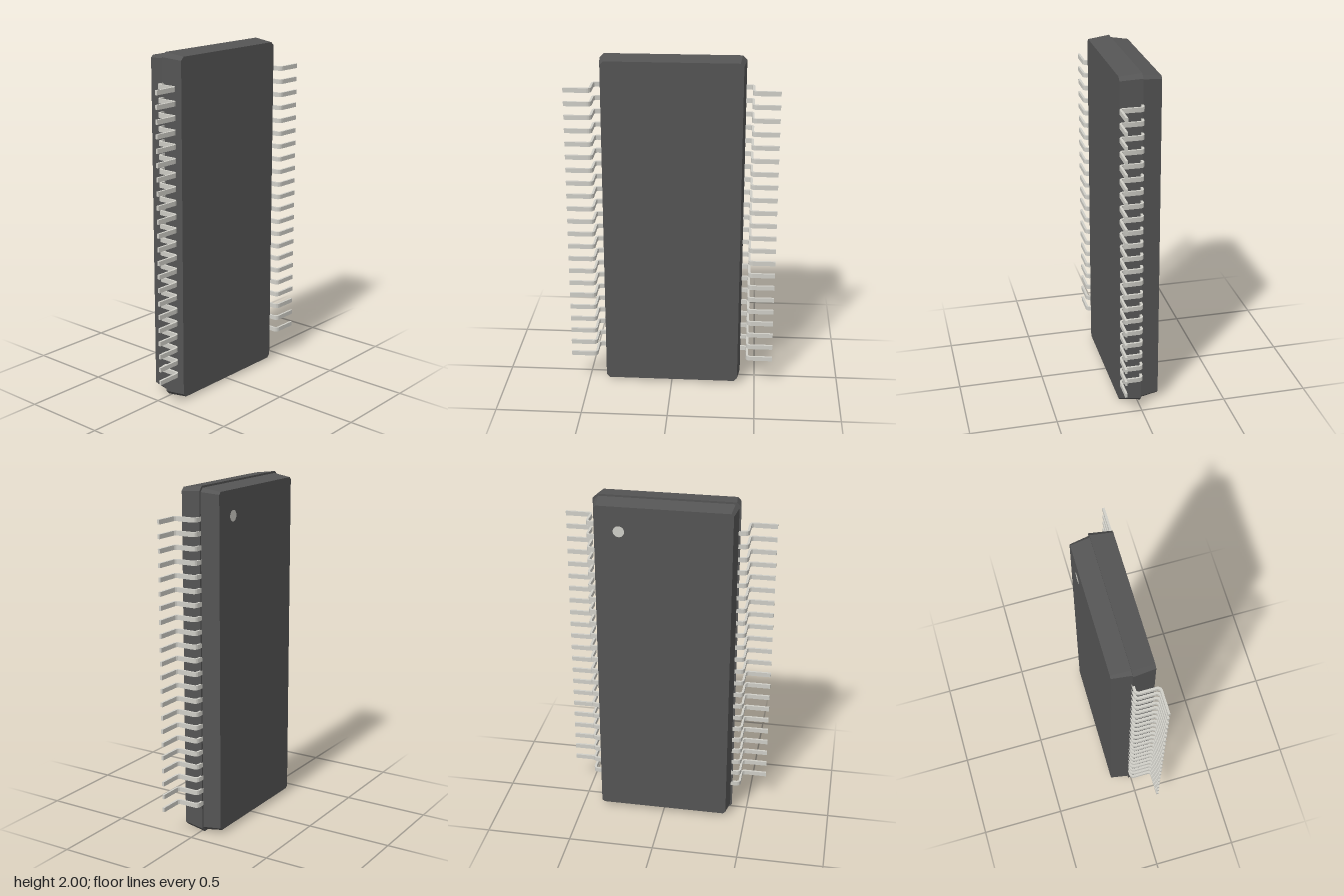
import * as THREE from 'three';
import { ConvexGeometry } from 'three/addons/geometries/ConvexGeometry.js';
import { toCreasedNormals } from 'three/addons/utils/BufferGeometryUtils.js';

const MID_Y = 1;
const PARTING_Z = -0.018;
const BACK_Z = -0.126;
const FRONT_Z = 0.107;

// Corners of a rectangle with chamfered corners, at depth z
function chamferedLoop(hw, hh, c, z) {
  const points = [];
  for (const sx of [-1, 1]) {
    for (const sy of [-1, 1]) {
      points.push(new THREE.Vector3(sx * (hw - c), MID_Y + sy * hh, z));
      points.push(new THREE.Vector3(sx * hw, MID_Y + sy * (hh - c), z));
    }
  }
  return points;
}

// Gull-wing strip: shoulder, bend, drop, bend, foot (x outward, y = depth)
function leadGeometry() {
  const h = 0.0065, r = 0.02, width = 0.026;
  const a = { x: 0.432, z: 0.007 }, b = { x: 0.472, z: 0.097 };
  const s = new THREE.Shape();
  s.moveTo(0.36, a.z - r - h);
  s.lineTo(a.x, a.z - r - h);
  s.absarc(a.x, a.z, r + h, -Math.PI / 2, 0, false);
  s.lineTo(b.x - r + h, b.z);
  s.absarc(b.x, b.z, r - h, Math.PI, Math.PI / 2, true);
  s.lineTo(0.602, b.z + r - h);
  s.lineTo(0.602, b.z + r + h);
  s.lineTo(b.x, b.z + r + h);
  s.absarc(b.x, b.z, r + h, Math.PI / 2, Math.PI, false);
  s.lineTo(a.x + r - h, a.z);
  s.absarc(a.x, a.z, r - h, 0, -Math.PI / 2, true);
  s.lineTo(0.36, a.z - r + h);
  s.closePath();
  const g = new THREE.ExtrudeGeometry(s, { depth: width, bevelEnabled: false, curveSegments: 8 });
  g.translate(0, 0, -width / 2);
  g.rotateX(Math.PI / 2);
  return toCreasedNormals(g, 0.6);
}

export function createModel() {
  const model = new THREE.Group();
  model.name = 'chipPackage';
  const plastic = new THREE.MeshStandardMaterial({ color: 0x555555 });
  const metal = new THREE.MeshStandardMaterial({ color: 0xd0cfc8 });

  const add = (parent, name, geometry, material) => {
    const mesh = new THREE.Mesh(geometry, material);
    mesh.name = name;
    parent.add(mesh);
    return mesh;
  };

  // Two tapered halves of the moulded body, meeting at the parting line
  add(model, 'bodyFrontHalf', new ConvexGeometry([
    ...chamferedLoop(0.411, 1, 0.025, PARTING_Z),
    ...chamferedLoop(0.396, 0.985, 0.02, FRONT_Z),
  ]), plastic);
  add(model, 'bodyBackHalf', new ConvexGeometry([
    ...chamferedLoop(0.4, 0.989, 0.021, PARTING_Z),
    ...chamferedLoop(0.384, 0.973, 0.014, BACK_Z),
  ]), plastic);

  // Round orientation mark on the back face
  const mark = add(model, 'orientationMark', new THREE.CircleGeometry(0.032, 32), metal);
  mark.rotation.y = Math.PI;
  mark.position.set(0.246, 1.83, BACK_Z - 0.001);

  // Rows of leads along both long sides
  const lead = leadGeometry();
  const count = 22, firstY = 0.181, lastY = 1.823;
  for (const side of ['left', 'right']) {
    const row = new THREE.Group();
    row.name = side + 'Leads';
    for (let i = 0; i < count; i++) {
      const mesh = add(row, 'lead', lead, metal);
      mesh.position.y = firstY + (i * (lastY - firstY)) / (count - 1);
      if (side === 'right') mesh.rotation.z = Math.PI;
    }
    model.add(row);
  }
  return model;
}
